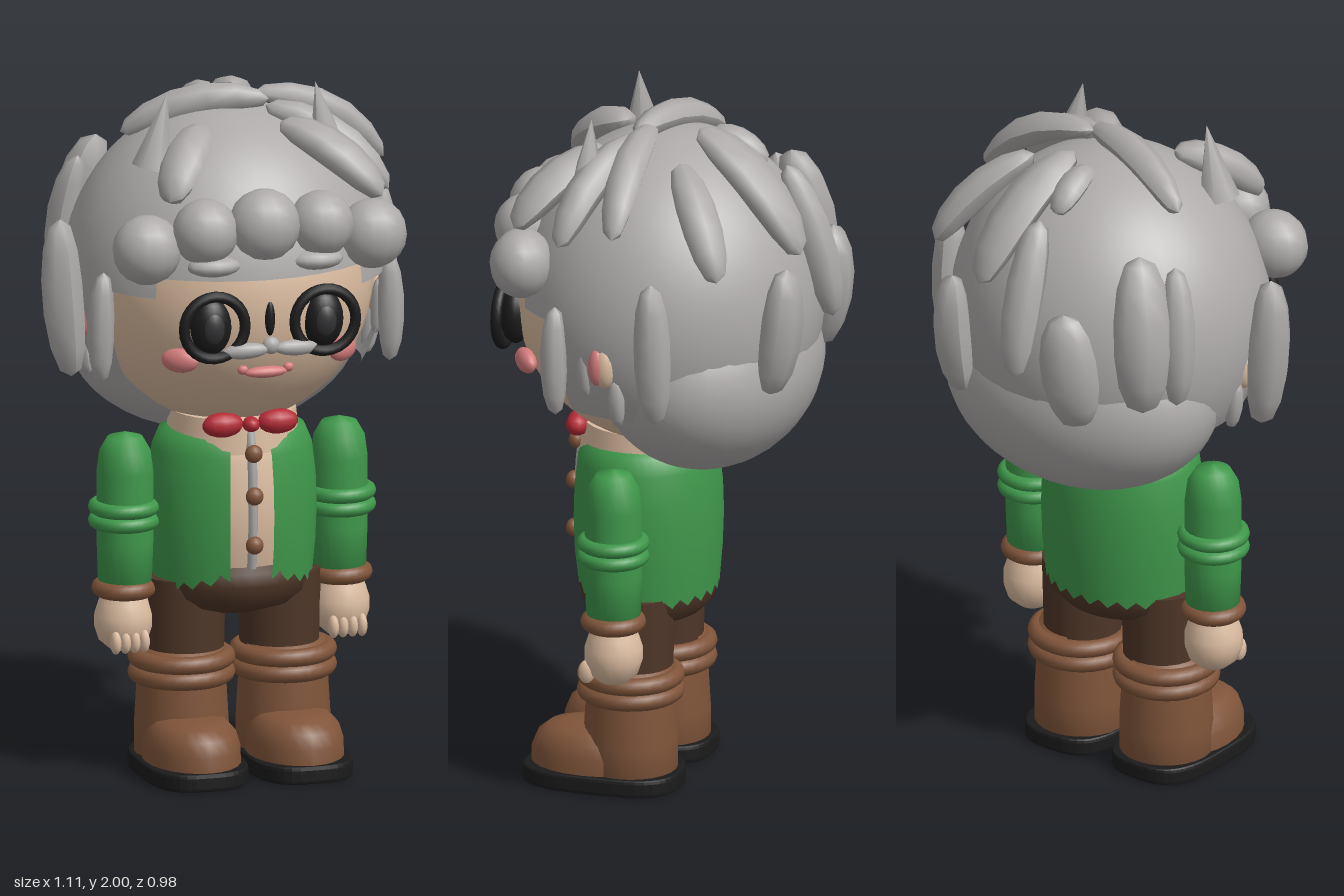
import * as THREE from 'three';

const mat = (name, color, side = THREE.FrontSide) => {
  const m = new THREE.MeshStandardMaterial({ color, side });
  m.name = name;
  return m;
};

export function createModel() {
  const root = new THREE.Group();
  root.name = 'character';
  const body = new THREE.Group();
  body.name = 'body';
  body.position.x = 0.012;
  const hairdo = new THREE.Group();
  hairdo.name = 'hairdo';
  root.add(body, hairdo);

  const hair = mat('grey hair', 0xadaaa9, THREE.DoubleSide);
  const skin = mat('skin', 0xdcbda1);
  const green = mat('green jacket', 0x3f974b, THREE.DoubleSide);
  const trousers = mat('dark brown trousers', 0x4e3627);
  const leather = mat('brown leather', 0x80553a);
  const black = mat('black', 0x1b1b1c);
  const charcoal = mat('charcoal', 0x333335);
  const pink = mat('pink', 0xd47c7c);
  const red = mat('red', 0xb52a36);

  const add = (name, geo, material, x = 0, y = 0, z = 0, parent = body) => {
    const m = new THREE.Mesh(geo, material);
    m.name = name;
    m.position.set(x, y, z);
    parent.add(m);
    return m;
  };
  const ball = (name, material, p, r, seg = 20, parent = body) => {
    const m = add(name, new THREE.SphereGeometry(1, seg, Math.ceil(seg * 0.7)), material, ...p, parent);
    m.scale.set(...r);
    return m;
  };
  const ring = (name, material, p, R, t) => {
    const m = add(name, new THREE.TorusGeometry(R, t, 10, 28), material, ...p);
    m.rotation.x = Math.PI / 2;
    return m;
  };
  const lathe = (pts, seg, start = 0, len = Math.PI * 2) =>
    new THREE.LatheGeometry(pts.map(p => new THREE.Vector2(...p)), seg, start, len);

  // Tapered hair lock between two points, bowed away from the head
  const headCentre = new THREE.Vector3(0, 1.4, 0);
  const lock = (a, b, w, t = w * 0.75, bow = 0.08) => {
    const A = new THREE.Vector3(...a), B = new THREE.Vector3(...b);
    const dir = B.clone().sub(A), len = dir.length(), mid = A.add(B).multiplyScalar(0.5);
    dir.normalize();
    const out = mid.clone().sub(headCentre);
    out.addScaledVector(dir, -out.dot(dir)).normalize();
    const side = dir.clone().cross(out);
    const g = new THREE.SphereGeometry(1, 8, 7), p = g.attributes.position;
    for (let i = 0; i < p.count; i++) {
      const y = p.getY(i), full = Math.max(1e-4, 1 - y * y) ** -0.12;
      p.setXYZ(i, p.getX(i) * w * full, y * len / 2, p.getZ(i) * t * full + bow * len * (1 - y * y));
    }
    g.applyMatrix4(new THREE.Matrix4().makeBasis(side, dir, out));
    g.computeVertexNormals();
    add('hairLock', g, hair, mid.x, mid.y, mid.z, hairdo);
  };

  // Head and hair mass: cap, temples and sides leave the face open
  ball('head', skin, [0, 1.42, 0.03], [0.41, 0.42, 0.42], 36);
  for (const [name, gap, top, height] of [['hairCap', 0, 0, 1.42], ['hairTemples', 0.72, 1.4, 0.14], ['hairSides', 1.08, 1.5, 0.64]]) {
    const geo = new THREE.SphereGeometry(1, 36, top ? 10 : 18, Math.PI / 2 + gap, Math.PI * 2 - gap * 2, top, height);
    add(name, geo, hair, 0.01, 1.43, 0.015, hairdo).scale.set(0.46, 0.488, 0.44);
  }
  ball('napeHair', hair, [0, 1.25, -0.11], [0.43, 0.308, 0.31], 32);

  // Fringe curls
  for (const [x, y, z, r] of [[0.01, 1.65, 0.395, 0.105], [-0.16, 1.64, 0.385, 0.095], [0.18, 1.64, 0.385, 0.095],
    [-0.32, 1.59, 0.345, 0.1], [0.345, 1.59, 0.345, 0.1]])
    ball('fringeCurl', hair, [x, y, z], [r, r, 0.09], 14, hairdo);
  for (const x of [-0.14, 0.16]) ball('fringeEdge', hair, [x, 1.545, 0.41], [0.08, 0.03, 0.05], 12, hairdo);

  // Locks on the crown
  const onCap = (x, z, h) => [x, 1.43 + 0.488 * Math.sqrt(1 - (x / 0.463) ** 2 - (z / 0.446) ** 2) + h, z];
  lock(onCap(-0.28, -0.05, 0.02), onCap(0.12, 0.08, 0.04), 0.048, 0.048, 0.1);
  lock(onCap(0.09, 0.04, 0.04), [0.47, 1.73, 0.04], 0.052, 0.045, 0.12);
  lock(onCap(0.11, 0.08, 0.02), [0.435, 1.68, 0.21], 0.055, 0.05, 0.1);
  lock(onCap(0.13, 0.16, 0.02), [0.37, 1.7, 0.36], 0.068, 0.05);
  lock(onCap(-0.1, 0.17, 0.02), [-0.26, 1.73, 0.37], 0.065, 0.05);
  lock(onCap(0.06, -0.09, 0.04), [0.15, 1.63, -0.42], 0.076, 0.05, 0.09);
  lock(onCap(-0.01, -0.11, 0.02), onCap(-0.01, -0.27, 0.02), 0.045);
  lock(onCap(0.21, -0.08, 0.03), [0.425, 1.62, -0.26], 0.058, 0.05, 0.07);

  // Locks hanging at the back and sides
  lock([-0.29, 1.78, -0.25], [-0.34, 1.32, -0.3], 0.085, 0.075, 0.06);
  lock([-0.365, 1.74, -0.18], [-0.4, 1.33, -0.22], 0.05, 0.05, 0.05);
  lock([-0.15, 1.62, -0.42], [-0.17, 1.26, -0.38], 0.085, 0.06, 0.04);
  lock([0, 1.84, -0.33], [-0.01, 1.4, -0.465], 0.058, 0.055, 0.04);
  lock([0.25, 1.62, -0.41], [0.25, 1.24, -0.36], 0.065, 0.055, 0.04);
  lock([0.495, 1.62, -0.085], [0.485, 1.2, -0.095], 0.053, 0.055, 0.02);
  lock([-0.5, 1.63, 0.09], [-0.465, 1.17, 0.09], 0.062, 0.062, 0.02);
  for (const s of [-1, 1]) {
    lock([0.01 + s * 0.42, 1.5, 0.22], [0.01 + s * 0.425, 1.18, 0.215], 0.038, 0.038, 0.02);
    lock([0.01 + s * 0.42, 1.4, 0.13], [0.01 + s * 0.41, 1.24, 0.13], 0.022, 0.022, 0.02);
    lock([0.01 + s * 0.43, 1.31, 0.035], [0.01 + s * 0.41, 1.16, 0.035], 0.025, 0.025, 0.02);
    // Upright tufts
    const tuft = add('hairTuft', new THREE.ConeGeometry(0.06, 0.22, 7), hair, 0.01 + s * 0.24, 1.892, 0.175, hairdo);
    tuft.rotation.z = s * 0.2;

    // Ears
    ball('ear', skin, [s * 0.432, 1.342, 0.066], [0.033, 0.064, 0.034], 14);
    ball('innerEar', pink, [s * 0.44, 1.342, 0.086], [0.028, 0.056, 0.027], 12);

    // Spectacles, eyes and cheeks
    add('spectacleRim', new THREE.TorusGeometry(0.09, 0.016, 10, 28), black, s * 0.163, 1.375, 0.447);
    ball('eye', black, [s * 0.165, 1.372, 0.415], [0.06, 0.084, 0.045]);
    ball('iris', charcoal, [s * 0.165, 1.372, 0.425], [0.042, 0.06, 0.041]);
    const cheek = ball('cheek', pink, [s * 0.24, 1.265, 0.362], [0.056, 0.035, 0.027], 14);
    cheek.rotation.y = s * 0.65;

    // Moustache and bow tie
    const tash = ball('moustache', hair, [s * 0.075, 1.303, 0.455], [0.068, 0.023, 0.022], 14);
    tash.rotation.set(0, s * 0.15, -s * 0.06);
    ball('bowLoop', red, [s * 0.081, 1.039, 0.255], [0.061, 0.036, 0.035], 12);

    // Sleeves, bands and cuffs
    add('sleeve', lathe([[0, 0.53], [0.076, 0.53], [0.081, 0.68], [0.081, 0.88], [0.073, 0.94], [0.05, 0.98], [0, 0.995]], 22), green, s * 0.316, 0, 0.078);
    for (const y of [0.738, 0.778]) ring('sleeveBand', green, [s * 0.318, y, 0.078], 0.082, 0.021);
    ring('cuff', leather, [s * 0.318, 0.542, 0.078], 0.068, 0.025);
    add('hand', lathe([[0, 0.358], [0.04, 0.364], [0.07, 0.39], [0.083, 0.43], [0.083, 0.465], [0.072, 0.5], [0.058, 0.54]], 18), skin, s * 0.32, 0, 0.076);
    for (let i = 0; i < 4; i++)
      ball('finger', skin, [s * (0.279 + i * 0.028), 0.397, 0.143], [0.016, 0.034, 0.024], 10);

    // Legs and boots
    add('leg', new THREE.CylinderGeometry(0.118, 0.112, 0.24, 24), trousers, s * 0.14, 0.45, 0.075);
    add('bootShaft', lathe([[0.11, 0.04], [0.134, 0.05], [0.134, 0.14], [0.127, 0.26], [0.12, 0.36], [0, 0.36]], 24), leather, s * 0.15, 0, 0.08);
    for (const y of [0.285, 0.33]) ring('bootBand', leather, [s * 0.15, y, 0.08], 0.127, 0.026);
    const toe = add('bootToe', lathe([[1, 0], [0.99, 0.4], [0.9, 0.7], [0.72, 0.9], [0.45, 0.98], [0, 1]], 24), leather, s * 0.152, 0.045, 0.185);
    toe.scale.set(0.136, 0.135, 0.185);

    // Rounded sole with an inset pad underneath
    const w = 0.142, d = 0.222, shape = new THREE.Shape();
    for (let i = 0; i < 40; i++) {
      const a = i / 40 * Math.PI * 2, c = Math.cos(a), n = Math.sin(a);
      const x = w * Math.sign(c) * Math.abs(c) ** 0.65, y = d * Math.sign(n) * Math.abs(n) ** 0.65;
      i ? shape.lineTo(x, y) : shape.moveTo(x, y);
    }
    const soleGeo = new THREE.ExtrudeGeometry(shape, { depth: 0.03, bevelEnabled: true, bevelSize: 0.006, bevelThickness: 0.01, bevelSegments: 2 });
    add('sole', soleGeo, black, s * 0.154, 0.046, 0.157).rotation.x = Math.PI / 2;
    const pad = add('solePad', new THREE.CylinderGeometry(1, 1, 0.006, 24), leather, s * 0.154, 0.005, 0.157);
    pad.scale.set(0.092, 1, 0.12);
  }

  // Nose and mouth
  ball('nose', black, [0, 1.39, 0.447], [0.015, 0.05, 0.014], 12);
  ball('moustacheCentre', hair, [0, 1.315, 0.458], [0.026, 0.025, 0.02], 12);
  ball('mouth', pink, [0, 1.226, 0.408], [0.064, 0.017, 0.022], 14);
  for (const s of [-1, 1]) ball('mouthCorner', pink, [s * 0.067, 1.235, 0.404], [0.016, 0.014, 0.014], 10);
  ball('bowKnot', red, [0, 1.037, 0.262], [0.025, 0.022, 0.03], 12);

  // Torso, open jacket with a ragged hem, shirt and hips
  const zScale = 0.86;
  add('neck', new THREE.CylinderGeometry(0.18, 0.19, 0.1, 28), skin, 0, 1.0, 0.08);
  add('shirt', lathe([[0.2, 0.6], [0.23, 0.7], [0.232, 0.8], [0.22, 0.92], [0.19, 0.99], [0, 0.995]], 36), skin, 0, 0, 0.075).scale.z = zScale;
  const jacketGeo = lathe([[0.228, 0.56], [0.239, 0.66], [0.243, 0.76], [0.24, 0.85], [0.229, 0.94], [0.208, 0.99], [0.17, 1.003]], 46, 0.27, Math.PI * 2 - 0.54);
  const jp = jacketGeo.attributes.position;
  for (let i = 0, col = 0; i < jp.count; i += 7, col++) {
    const front = Math.max(0, Math.cos(0.27 + col / 46 * (Math.PI * 2 - 0.54)));
    jp.setY(i, 0.553 + 0.045 * front ** 4 + (col % 2 ? 0.012 : -0.01));
  }
  jacketGeo.computeVertexNormals();
  add('jacket', jacketGeo, green, 0, 0, 0.075).scale.z = zScale;
  add('hips', lathe([[0, 0.455], [0.1, 0.463], [0.18, 0.488], [0.216, 0.522], [0.225, 0.56], [0.229, 0.6], [0.2, 0.62]], 32), trousers, 0, 0, 0.075).scale.z = zScale;

  // Narrow front strip with buttons
  const strip = new THREE.TubeGeometry(new THREE.CatmullRomCurve3([[1.03, 0.25], [0.94, 0.273], [0.8, 0.282], [0.69, 0.28], [0.62, 0.27]]
    .map(([y, z]) => new THREE.Vector3(0, y, z))), 20, 0.014, 8);
  add('frontStrip', strip, hair);
  for (const [y, z] of [[0.957, 0.29], [0.835, 0.298], [0.692, 0.298]])
    ball('button', leather, [0, y, z], [0.026, 0.026, 0.022], 12);

  return root;
}
